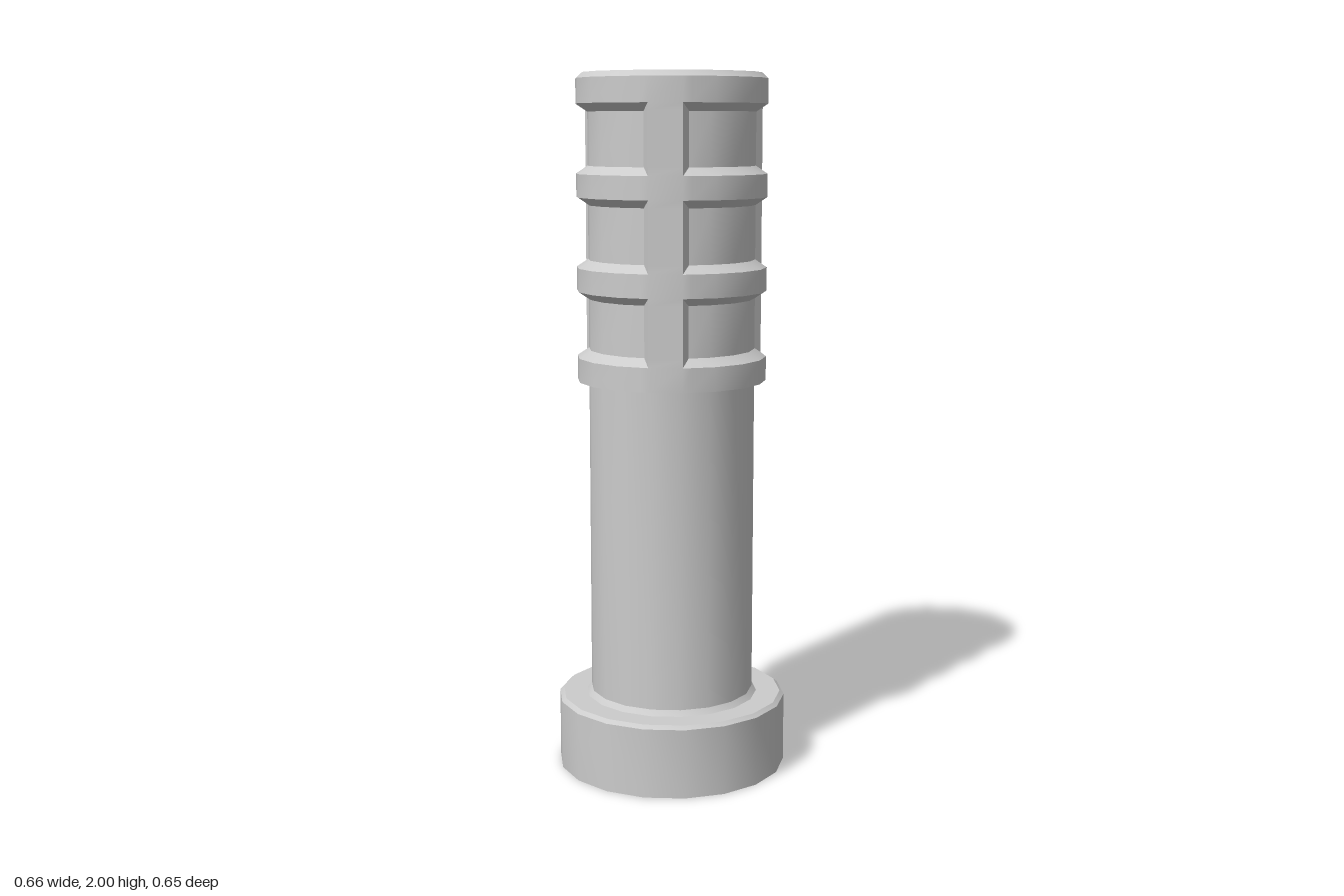
import * as THREE from 'three';
import { toCreasedNormals } from 'three/addons/utils/BufferGeometryUtils.js';

const SIDES = 18;
const R_BASE = 0.332, R_SHAFT = 0.237, R_COLLAR = 0.27;
const COLLAR_BOTTOM = 1.138, COLLAR_TOP = 1.984;
const STEP = 20; // degrees per facet

const material = new THREE.MeshStandardMaterial({ color: 0xcccccc, side: THREE.DoubleSide });

function part(name, geometry) {
  const mesh = new THREE.Mesh(toCreasedNormals(geometry, THREE.MathUtils.degToRad(30)), material);
  mesh.name = name;
  return mesh;
}

// Turned part with facet corners on the x axis
function turned(name, profile) {
  const points = profile.map(([r, y]) => new THREE.Vector2(r, y));
  return part(name, new THREE.LatheGeometry(points, SIDES, Math.PI / 2));
}

// Point on the 18-sided prism of corner radius r, at any angle in degrees
function prismPoint(r, degrees, y) {
  const offset = degrees - (Math.floor(degrees / STEP) + 0.5) * STEP;
  const k = r * Math.cos(THREE.MathUtils.degToRad(STEP / 2)) / Math.cos(THREE.MathUtils.degToRad(offset));
  const a = THREE.MathUtils.degToRad(degrees);
  return [k * Math.cos(a), y, k * Math.sin(a)];
}

// Collar: three rows of bevelled windows between three upright bars
function collarGeometry() {
  const bevel = 0.022;
  const columns = [], rows = [{ y: COLLAR_BOTTOM, sunk: false }];
  for (let third = 0; third < 3; third++) {
    const start = 100 + third * 120;
    [0, 5, 20, 40, 60, 80, 95, 100].forEach((d) =>
      columns.push({ angle: start + d, sunk: d > 0 && d < 100 }));
  }
  columns.push({ angle: 460, sunk: false });
  for (const [low, high] of [[1.206, 1.394], [1.46, 1.657], [1.722, 1.915]]) {
    rows.push({ y: low, sunk: false }, { y: low + bevel, sunk: true },
      { y: high - bevel, sunk: true }, { y: high, sunk: false });
  }
  rows.push({ y: COLLAR_TOP, sunk: false });

  const positions = [];
  const corner = (c, r) => {
    const sunk = columns[c].sunk && rows[r].sunk;
    return { sunk, p: prismPoint(sunk ? R_SHAFT : R_COLLAR, columns[c].angle, rows[r].y) };
  };
  for (let c = 0; c < columns.length - 1; c++) {
    for (let r = 0; r < rows.length - 1; r++) {
      const q = [corner(c, r), corner(c, r + 1), corner(c + 1, r + 1), corner(c + 1, r)];
      // Split along the mitre at window corners
      const order = q[0].sunk !== q[2].sunk ? [0, 1, 2, 0, 2, 3] : [0, 1, 3, 1, 2, 3];
      order.forEach((i) => positions.push(...q[i].p));
    }
  }
  const geometry = new THREE.BufferGeometry();
  geometry.setAttribute('position', new THREE.Float32BufferAttribute(positions, 3));
  return geometry;
}

export function createModel() {
  const model = new THREE.Group();
  model.name = 'post';

  // Hollow foot, open underneath, with a small fillet up to the shaft
  model.add(turned('base', [
    [R_BASE, 0], [R_BASE, 0.2], [0.32, 0.21], [0.25, 0.21], [R_SHAFT, 0.225],
  ]));
  model.add(turned('shaft', [[R_SHAFT, 0.225], [R_SHAFT, COLLAR_BOTTOM]]));

  // Windowed head
  model.add(turned('collarUnderside', [[R_SHAFT, COLLAR_BOTTOM], [R_COLLAR, COLLAR_BOTTOM]]));
  model.add(part('collar', collarGeometry()));
  model.add(turned('capBevel', [[R_COLLAR, COLLAR_TOP], [0.253, 2]]));

  const cap = part('cap', new THREE.CircleGeometry(0.253, SIDES));
  cap.rotation.x = -Math.PI / 2;
  cap.position.y = 2;
  model.add(cap);

  return model;
}
